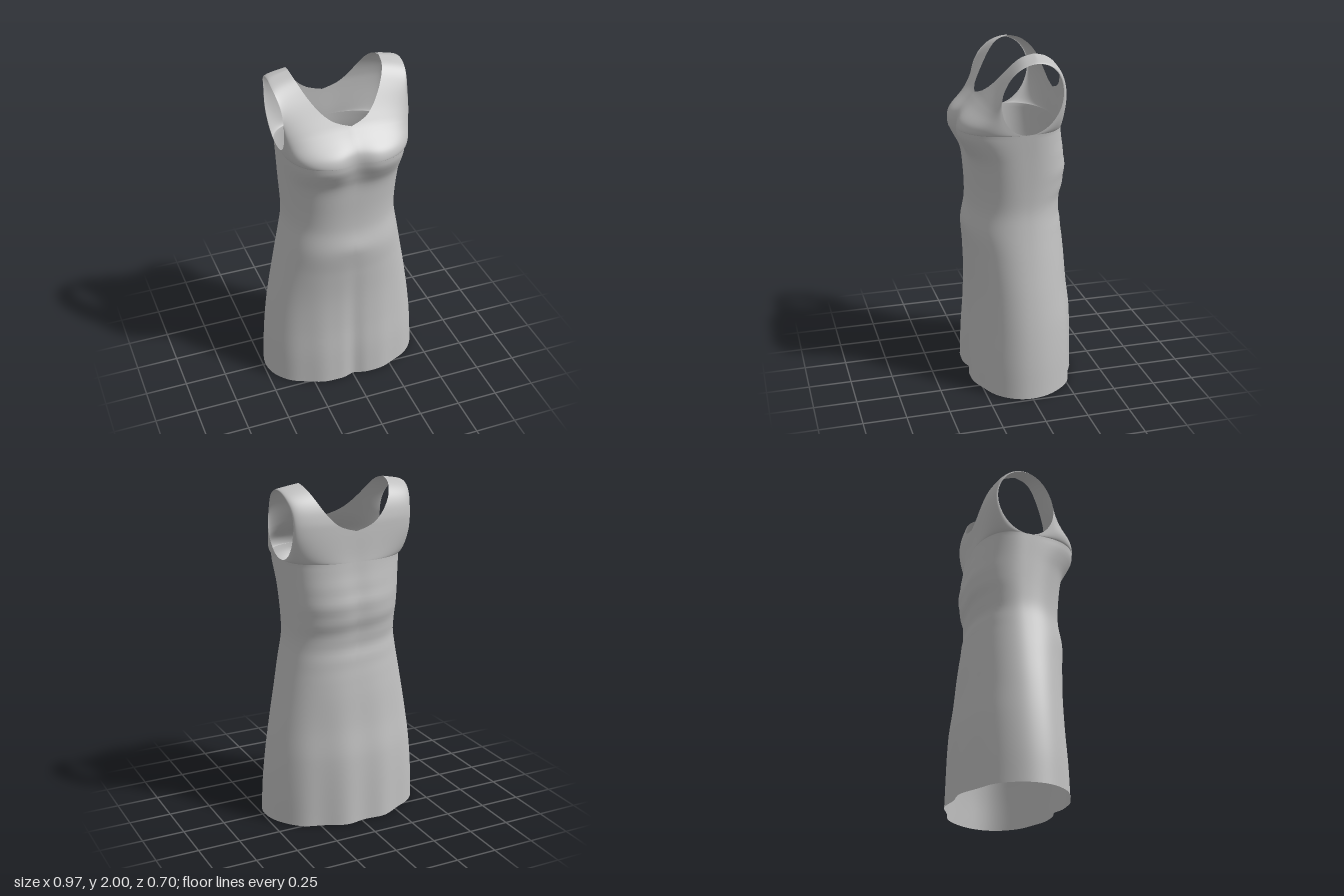
import * as THREE from 'three';
import { mergeVertices } from 'three/addons/utils/BufferGeometryUtils.js';

// Profiles along the height, as [y, value]
const halfWidth = [[0, .485], [.2, .475], [.4, .455], [.6, .425], [.8, .388], [1, .35], [1.1, .335], [1.2, .335],
  [1.4, .345], [1.57, .356], [1.7, .363], [1.85, .367], [1.97, .39]];
const frontZ = [[0, .3], [.2, .293], [.4, .28], [.6, .276], [.8, .285], [.95, .294], [1.1, .27], [1.3, .274], [1.4, .288],
  [1.47, .325], [1.54, .356], [1.62, .338], [1.7, .255], [1.75, .208], [1.8, .165], [1.9, .085], [1.96, .03], [1.985, -.01], [2, -.07]];
const backZ = [[0, -.345], [.4, -.335], [.6, -.312], [.8, -.295], [1, -.272], [1.1, -.262], [1.2, -.28], [1.3, -.296],
  [1.4, -.285], [1.5, -.268], [1.6, -.256], [1.75, -.249], [1.8, -.245], [1.88, -.225], [1.94, -.19], [1.985, -.13], [2, -.07]];
const frontPower = [[0, 2.15], [.8, 2.2], [1.2, 2.4], [1.5, 2.9], [1.65, 2.8], [1.8, 2.4], [2, 2.2]];
const backPower = [[0, 2.05], [1, 2.2], [1.4, 2.4], [1.8, 2.5], [2, 2.2]];

// Smooth interpolation through a profile
function sample(table, y) {
  const n = table.length - 1;
  if (y <= table[0][0]) return table[0][1];
  if (y >= table[n][0]) return table[n][1];
  let i = 0;
  while (y > table[i + 1][0]) i++;
  const slope = (k) => {
    const a = table[Math.max(k - 1, 0)], b = table[Math.min(k + 1, n)];
    return (b[1] - a[1]) / (b[0] - a[0]);
  };
  const [y0, v0] = table[i], [y1, v1] = table[i + 1];
  const h = y1 - y0, t = (y - y0) / h, t2 = t * t, t3 = t2 * t;
  return (2 * t3 - 3 * t2 + 1) * v0 + (t3 - 2 * t2 + t) * h * slope(i)
    + (3 * t2 - 2 * t3) * v1 + (t3 - t2) * h * slope(i + 1);
}

const bump = (d, w) => Math.exp(-((d / w) ** 2));
const LOWER = 64, UPPER = 48, COLS = 32, ARM_BOTTOM = 1.567;

// Each row runs from the centre line (or neckline) to the side seam (or armhole)
function rowOf(r, front) {
  if (r <= LOWER) {
    const y = ARM_BOTTOM * r / LOWER;
    return { yIn: y, yOut: y, xIn: 0, zOut: -.025 * y / ARM_BOTTOM };
  }
  const a = Math.PI * (r - LOWER) / UPPER;
  const side = front ? 1 : -1;
  const yIn = ARM_BOTTOM + (2 - ARM_BOTTOM) * (1 - Math.cos(a)) / 2;
  return {
    yIn,
    yOut: 1.767 - .2 * Math.cos(a) - side * .025 * Math.sin(a),
    xIn: yIn > 1.75 ? .265 * ((yIn - 1.75) / .25) ** .42 : 0,
    zOut: -.025 + side * .175 * Math.sin(a),
  };
}

// Soft shaping of the cloth
function folds(x, y, front) {
  const low = Math.max(0, 1 - y / .95);
  if (front) {
    return -.036 * bump(x, .08) * bump(y - 1.54, .11)
      - .035 * low * bump(x - .005, .055)
      + .006 * bump(x, .1) * bump(y - .98, .05)
      + .004 * low * Math.cos(x * 32);
  }
  return .01 * bump(x, .07) * bump(y - 1.35, .25)
    + .01 * low * Math.cos(x * 24 + .6)
    + .003 * bump(y - 1.2, .2) * Math.sin(y * 55 + x * 5);
}

function addPanel(positions, indices, front, sign) {
  const start = positions.length / 3, rows = LOWER + UPPER;
  for (let r = 0; r <= rows; r++) {
    const { yIn, yOut, xIn, zOut } = rowOf(r, front);
    const xOut = sample(halfWidth, yOut);
    const zMid = sample(front ? frontZ : backZ, yIn);
    const p = sample(front ? frontPower : backPower, yIn);
    for (let c = 0; c <= COLS; c++) {
      const x = c === COLS ? xOut : xIn + (xOut - xIn) * Math.sin(c / COLS * Math.PI / 2);
      const u = Math.min(1, x / xOut);
      const depth = Math.max(0, 1 - u ** p) ** (1 / p);
      const y = yIn + (yOut - yIn) * (c / COLS);
      const fade = (1 - u ** 4) * (yIn > 1.8 ? 0 : 1);
      const z = zOut + (zMid - zOut) * depth + folds(sign * x, y, front) * fade;
      positions.push(sign * x, y, z);
    }
  }
  const flip = front !== (sign > 0);
  for (let r = 0; r < rows; r++) {
    for (let c = 0; c < COLS; c++) {
      const a = start + r * (COLS + 1) + c, b = a + 1, d = a + COLS + 1, e = d + 1;
      if (flip) indices.push(a, d, b, b, d, e);
      else indices.push(a, b, d, b, e, d);
    }
  }
}

export function createModel() {
  const group = new THREE.Group();
  group.name = 'sleevelessDress';
  const cloth = new THREE.MeshStandardMaterial({ color: 0xc0c0c0, side: THREE.DoubleSide });
  cloth.name = 'grey cloth';

  // Four panels, sewn at the centre lines, side seams and shoulders
  const positions = [], indices = [];
  for (const front of [true, false]) for (const sign of [1, -1]) addPanel(positions, indices, front, sign);
  let geometry = new THREE.BufferGeometry();
  geometry.setAttribute('position', new THREE.Float32BufferAttribute(positions, 3));
  geometry.setIndex(indices);
  geometry = mergeVertices(geometry, 1e-4);
  geometry.computeVertexNormals();

  const dress = new THREE.Mesh(geometry, cloth);
  dress.name = 'dressShell';
  group.add(dress);
  return group;
}
